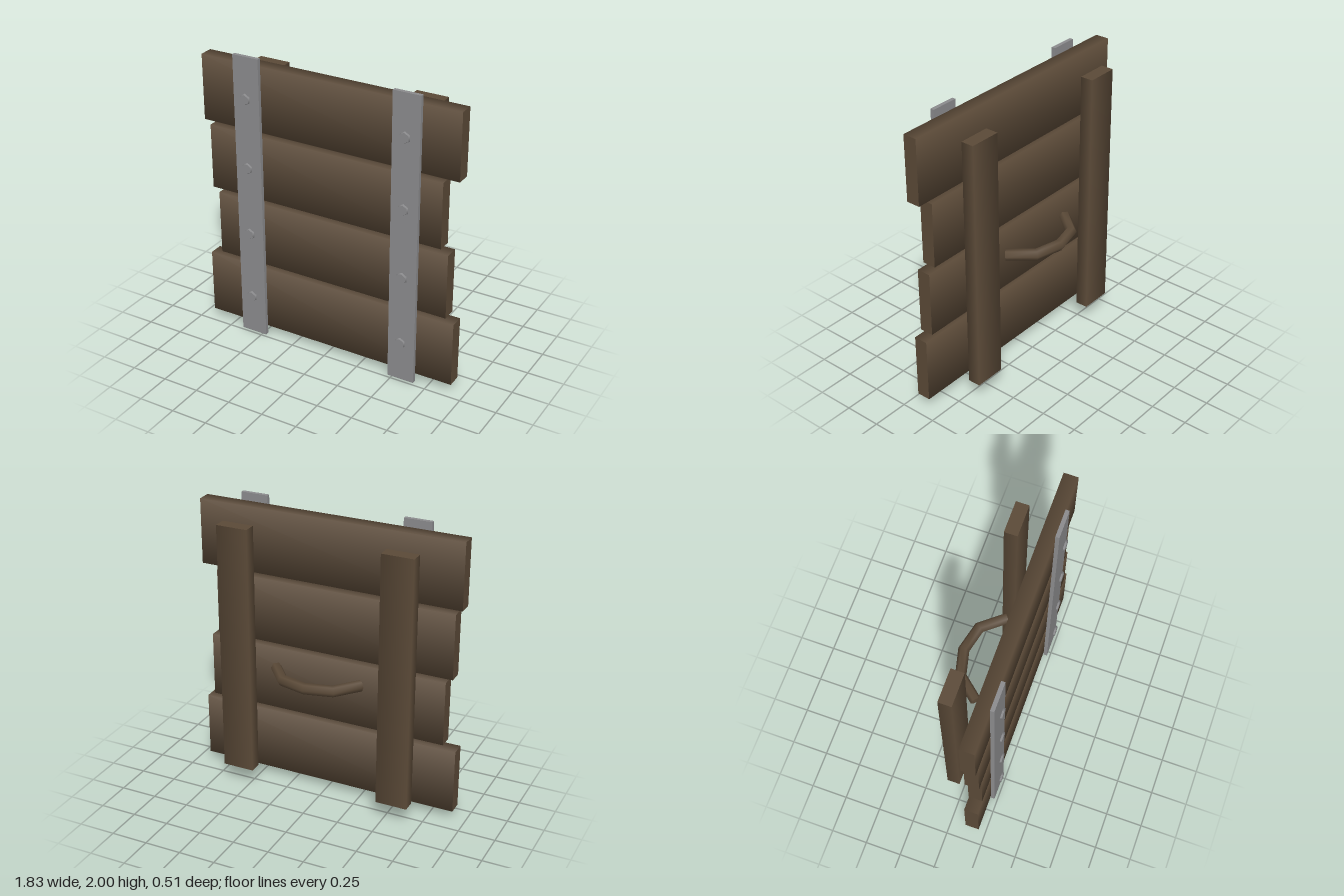
import * as THREE from 'three';

const wood = new THREE.MeshStandardMaterial({ color: 0x5a4937 });
wood.name = 'dark wood';
const steel = new THREE.MeshStandardMaterial({ color: 0x8a8a8c });
steel.name = 'grey steel';

function add(group, name, geometry, material, x = 0, y = 0, z = 0) {
  const mesh = new THREE.Mesh(geometry, material);
  mesh.name = name;
  mesh.position.set(x, y, z);
  group.add(mesh);
}

// Square beam, softly shaded around its long axis, with flat ends
function beam(w, h, d, alongX) {
  const g = new THREE.CylinderGeometry(Math.SQRT1_2, Math.SQRT1_2, 1, 4, 1, false, Math.PI / 4);
  if (alongX) g.rotateZ(Math.PI / 2);
  g.attributes.position.applyMatrix4(new THREE.Matrix4().makeScale(w, h, d));
  return g;
}

// Hexagonal bar swept along a mitred path of [x, z] points
function hexBar(path, r) {
  const pos = [], index = [], sides = 6;
  const pts = path.map(p => new THREE.Vector2(p[0], p[1]));
  const dir = i => pts[i + 1].clone().sub(pts[i]).normalize();
  const last = pts.length - 1;
  pts.forEach((p, i) => {
    const d0 = dir(Math.max(i - 1, 0)), d1 = dir(Math.min(i, last - 1));
    const t = d0.clone().add(d1).normalize();
    const mitre = r / t.dot(d1);
    for (let j = 0; j < sides; j++) {
      const a = j / sides * Math.PI * 2, k = Math.cos(a) * mitre;
      pos.push(p.x + t.y * k, Math.sin(a) * r, p.y - t.x * k);
    }
  });
  for (let i = 0; i < last; i++) {
    for (let j = 0; j < sides; j++) {
      const a = i * sides + j, b = i * sides + (j + 1) % sides;
      index.push(a, b, a + sides, b, b + sides, a + sides);
    }
  }
  // End caps use their own corners so that they stay flat
  for (const ring of [0, last]) {
    const base = pos.length / 3;
    pos.push(...pos.slice(ring * sides * 3, (ring + 1) * sides * 3));
    for (let j = 1; j < sides - 1; j++) {
      if (ring) index.push(base, base + j, base + j + 1);
      else index.push(base, base + j + 1, base + j);
    }
  }
  const g = new THREE.BufferGeometry();
  g.setAttribute('position', new THREE.Float32BufferAttribute(pos, 3));
  g.setIndex(index);
  g.computeVertexNormals();
  return g;
}

export function createModel() {
  const model = new THREE.Group();
  model.name = 'plankShield';

  // Horizontal planks: left edge, right edge, centre height
  const planks = [
    [-0.915, 0.912, 0.285],
    [-0.828, 0.856, 0.764],
    [-0.873, 0.805, 1.242],
    [-0.915, 0.912, 1.721],
  ];
  for (const [x0, x1, y] of planks) {
    add(model, 'plank', beam(x1 - x0, 0.448, 0.095, true), wood, (x0 + x1) / 2, y, 0.156);
  }

  for (const side of [-1, 1]) {
    const x = side * 0.565 - 0.002;
    // Steel strap on the front, full height
    add(model, 'strap', new THREE.BoxGeometry(0.188, 2, 0.026), steel, x, 1, 0.216);
    // Upright batten standing off the back
    add(model, 'batten', beam(0.217, 1.738, 0.087, false), wood, x, 1.004, -0.066);
    // Hexagonal bolt heads, one per plank
    for (const [, , y] of planks) {
      const bolt = new THREE.CylinderGeometry(0.034, 0.039, 0.012, 6);
      bolt.rotateX(Math.PI / 2);
      add(model, 'bolt', bolt, steel, x, y, 0.249);
    }
  }

  // Bent grip on the back
  const grip = [[-0.305, -0.026], [-0.178, -0.176], [0, -0.219], [0.178, -0.176], [0.302, -0.026]];
  add(model, 'handle', hexBar(grip, 0.037), wood, 0, 0.916, 0);

  return model;
}
